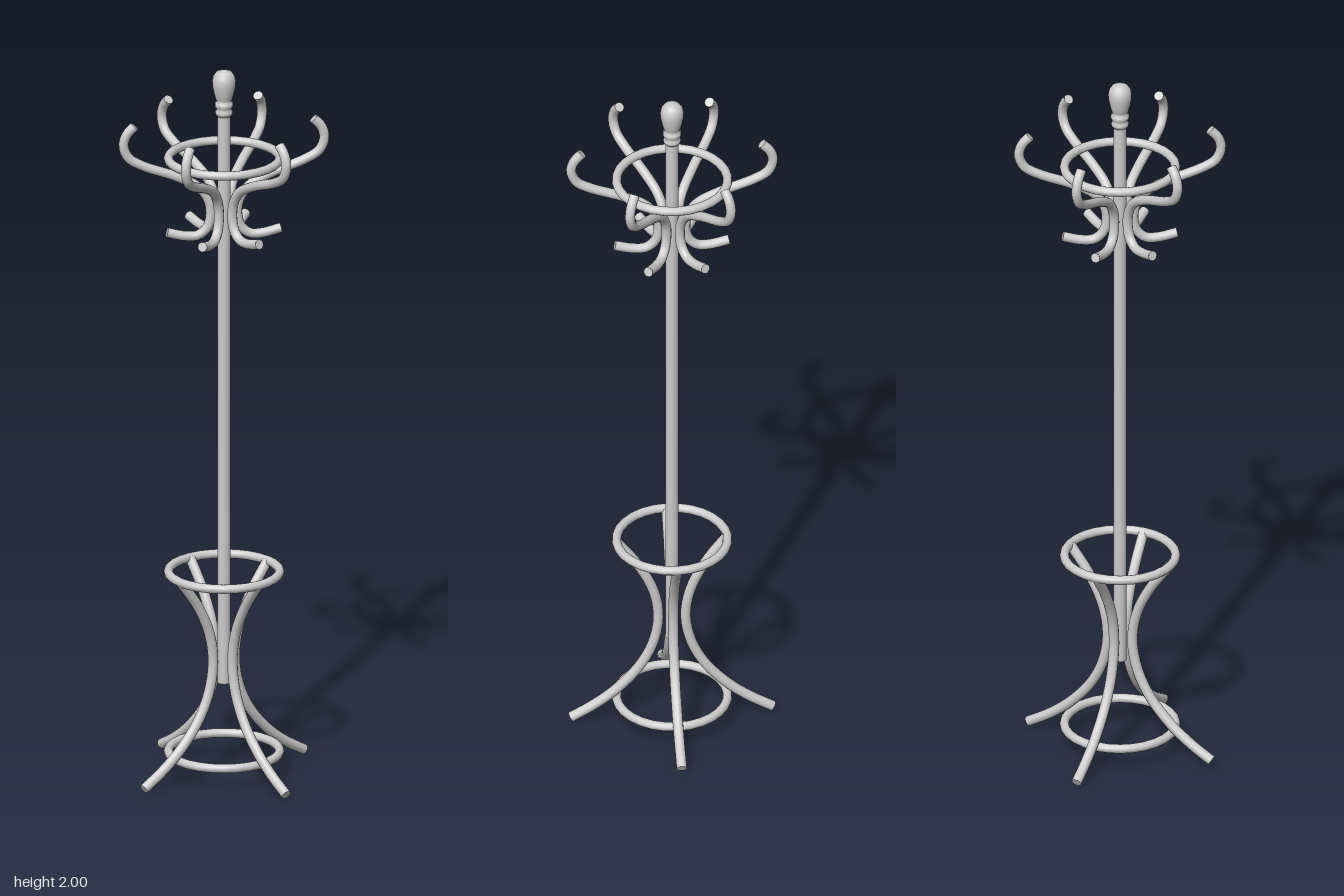
import * as THREE from 'three';

const material = new THREE.MeshStandardMaterial({ color: 0xcccccc });

function addMesh(parent, name, geometry) {
  const mesh = new THREE.Mesh(geometry, material);
  mesh.name = name;
  parent.add(mesh);
  return mesh;
}

// Bent rod through [radius, height] points, with flat end caps
function bentRod(name, points, radius, segments) {
  const rod = new THREE.Group();
  rod.name = name;
  const curve = new THREE.CatmullRomCurve3(points.map(([x, y]) => new THREE.Vector3(x, y, 0)), false, 'centripetal');
  addMesh(rod, name + 'Rod', new THREE.TubeGeometry(curve, segments, radius, 12));
  for (const t of [0, 1]) {
    const cap = addMesh(rod, name + 'Cap', new THREE.CircleGeometry(radius, 12));
    const outward = curve.getTangent(t).multiplyScalar(t ? 1 : -1);
    cap.position.copy(curve.getPoint(t));
    cap.quaternion.setFromUnitVectors(new THREE.Vector3(0, 0, 1), outward);
  }
  return rod;
}

// Copies of a part spaced evenly around the pole
function aroundPole(parent, count, make) {
  for (let i = 0; i < count; i++) {
    const part = make();
    part.rotation.y = (i / count) * Math.PI * 2;
    parent.add(part);
  }
}

export function createModel() {
  const group = new THREE.Group();
  group.name = 'coatStand';

  // Central pole
  const pole = addMesh(group, 'pole', new THREE.CylinderGeometry(0.018, 0.018, 1.62, 16));
  pole.position.y = 0.26 + 0.81;

  // Turned finial with a collar and an acorn knob
  const profile = [
    [0, 1.87], [0.018, 1.87], [0.023, 1.876], [0.024, 1.882], [0.021, 1.888],
    [0.021, 1.893], [0.025, 1.899], [0.025, 1.907], [0.019, 1.912], [0.022, 1.918],
    [0.027, 1.935], [0.031, 1.955], [0.032, 1.97], [0.029, 1.984], [0.021, 1.995],
    [0.01, 1.999], [0, 2],
  ];
  addMesh(group, 'finial', new THREE.LatheGeometry(profile.map(([x, y]) => new THREE.Vector2(x, y)), 24));

  // Foot ring, umbrella ring and upper ring
  for (const [name, y] of [['footRing', 0.065], ['umbrellaRing', 0.575], ['upperRing', 1.75]]) {
    const ring = addMesh(group, name, new THREE.TorusGeometry(0.15, 0.0125, 12, 28));
    ring.rotation.x = Math.PI / 2;
    ring.position.y = y;
  }

  // Four splayed legs, pinched in to the pole
  const legPath = [
    [0.273, 0.0125], [0.21, 0.05], [0.15, 0.097], [0.09, 0.165], [0.052, 0.24],
    [0.037, 0.325], [0.05, 0.41], [0.09, 0.495], [0.148, 0.575],
  ];
  aroundPole(group, 4, () => bentRod('leg', legPath, 0.014, 32));

  // Six hooks: a large curl above, a small peg below
  const hookPath = [
    [0.243, 1.852], [0.264, 1.83], [0.273, 1.798], [0.259, 1.762], [0.22, 1.738],
    [0.13, 1.704], [0.07, 1.672], [0.043, 1.635], [0.036, 1.595], [0.045, 1.557],
    [0.07, 1.535], [0.105, 1.534], [0.155, 1.546],
  ];
  aroundPole(group, 6, () => bentRod('hook', hookPath, 0.0135, 48));

  return group;
}
